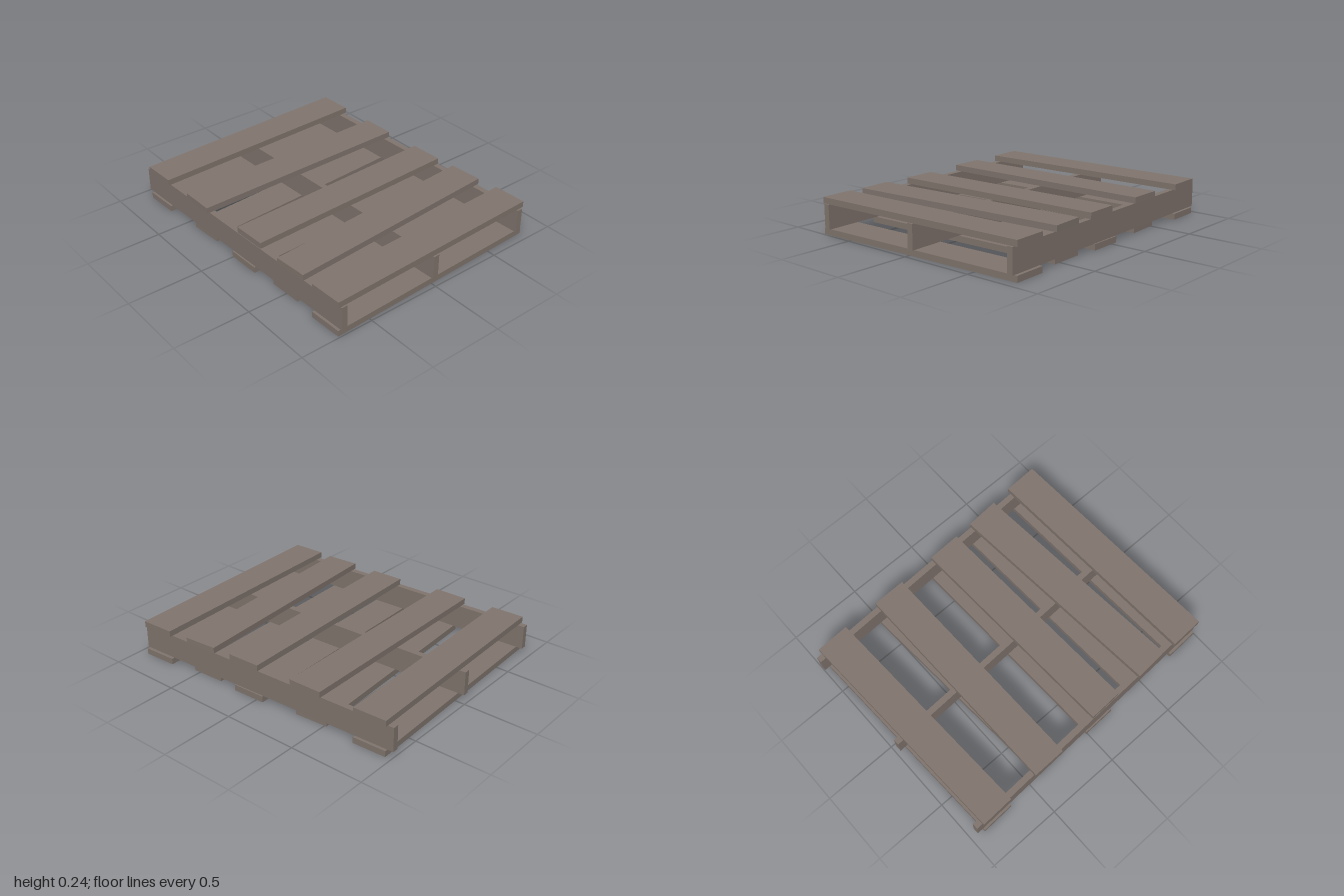
import * as THREE from 'three';

const PLANK_WIDTH = 0.225;
const PLANK_THICK = 0.04;
const STRINGER_HEIGHT = 0.16;

// Deck boards: [centre x, centre z, length, yaw], back to front
const TOP_BOARDS = [
  [-0.03, -0.82, 1.54, 0.036],
  [-0.02, -0.367, 1.53, 0.013],
  [0.005, 0.13, 1.505, 0.035],
  [0.016, 0.508, 1.525, 0.069],
  [0.03, 0.85, 1.545, 0.036],
];
const BOTTOM_BOARDS = [
  [-0.03, -0.82, 1.54, 0.036],
  [-0.02, -0.357, 1.48, 0.06],
  [0.0, 0.085, 1.525, 0.027],
  [0.01, 0.46, 1.48, 0.037],
  [0.03, 0.85, 1.545, 0.036],
];
// Stringers: [name, centre x, centre z]
const STRINGERS = [
  ['rightStringer', -0.735, 0.025],
  ['middleStringer', -0.015, 0],
  ['leftStringer', 0.73, -0.025],
];

export function createModel() {
  const wood = new THREE.MeshStandardMaterial({ color: 0x81756e });
  wood.name = 'weathered wood';

  const pallet = new THREE.Group();
  pallet.name = 'pallet';

  // One timber, resting on height y and turned about the vertical
  const addTimber = (parent, name, [w, h, d], x, y, z, yaw) => {
    const mesh = new THREE.Mesh(new THREE.BoxGeometry(w, h, d), wood);
    mesh.name = name;
    mesh.position.set(x, y + h / 2, z);
    mesh.rotation.y = yaw;
    parent.add(mesh);
  };

  // A layer of loosely laid boards
  const addDeck = (name, boards, y) => {
    const deck = new THREE.Group();
    deck.name = name;
    boards.forEach(([x, z, length, yaw], i) =>
      addTimber(deck, `${name}Board${i + 1}`, [length, PLANK_THICK, PLANK_WIDTH], x, y, z, yaw));
    pallet.add(deck);
  };

  addDeck('bottomDeck', BOTTOM_BOARDS, 0);
  addDeck('topDeck', TOP_BOARDS, PLANK_THICK + STRINGER_HEIGHT);

  // Upright stringers between the two decks
  for (const [name, x, z] of STRINGERS) {
    addTimber(pallet, name, [0.04, STRINGER_HEIGHT, 1.95], x, PLANK_THICK, z, 0.036);
  }

  return pallet;
}
